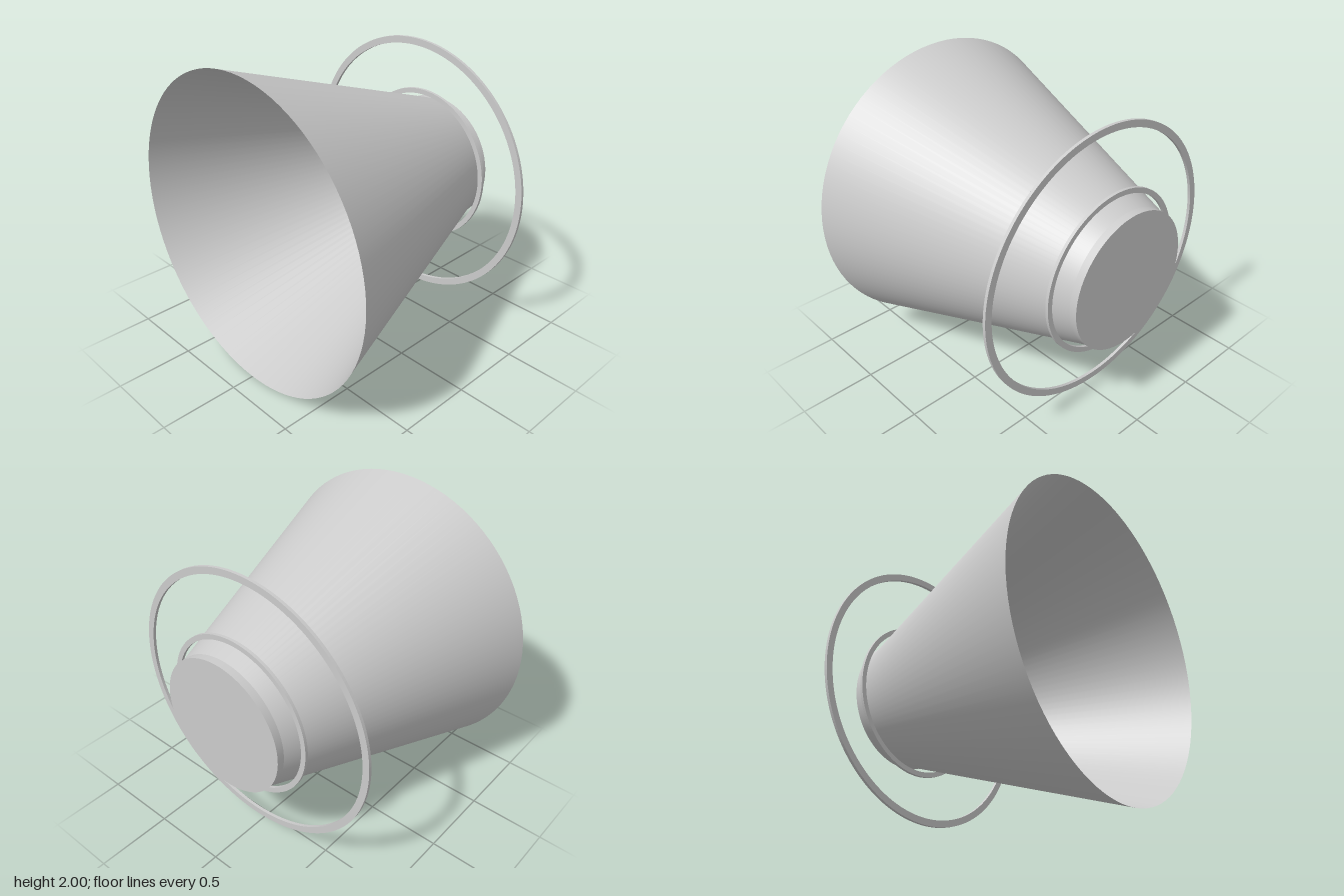
import * as THREE from 'three';

const SEGMENTS = 96;
const material = new THREE.MeshStandardMaterial({ color: 0xcccccc, side: THREE.DoubleSide });

// Open shell turned around the z axis; radii at a back and a front position
function shell(name, backRadius, backZ, frontRadius, frontZ) {
  const points = [new THREE.Vector2(backRadius, backZ), new THREE.Vector2(frontRadius, frontZ)];
  const geometry = new THREE.LatheGeometry(points, SEGMENTS).rotateX(Math.PI / 2);
  const mesh = new THREE.Mesh(geometry, material);
  mesh.name = name;
  mesh.position.y = 1;
  return mesh;
}

// Thin flat hoop facing z
function hoop(name, rx, ry, width, y, z, depth = 0.02) {
  const shape = new THREE.Shape().absellipse(0, 0, rx, ry, 0, Math.PI * 2, false);
  shape.holes.push(new THREE.Path().absellipse(0, 0, rx - width, ry - width, 0, Math.PI * 2, true));
  const geometry = new THREE.ExtrudeGeometry(shape, { depth, bevelEnabled: false, curveSegments: SEGMENTS });
  geometry.translate(0, 0, -depth / 2);
  const mesh = new THREE.Mesh(geometry, material);
  mesh.name = name;
  mesh.position.set(0, y, z);
  return mesh;
}

export function createModel() {
  const group = new THREE.Group();
  group.name = 'flaredHorn';

  // Flared body, open at the front, with a short straight collar behind
  group.add(shell('flaredBody', 0.444, -0.8, 1, 0.85));
  group.add(shell('rearCollar', 0.444, -0.85, 0.444, -0.8));

  // Disc closing the back of the collar
  const cap = new THREE.Mesh(new THREE.CircleGeometry(0.444, SEGMENTS).rotateY(Math.PI), material);
  cap.name = 'rearCap';
  cap.position.set(0, 1, -0.85);
  group.add(cap);

  // Two free hoops around the narrow end
  group.add(hoop('largeHoop', 0.9, 0.89, 0.045, 1.01, -0.615));
  group.add(hoop('smallHoop', 0.53, 0.53, 0.033, 1, -0.708));

  return group;
}
